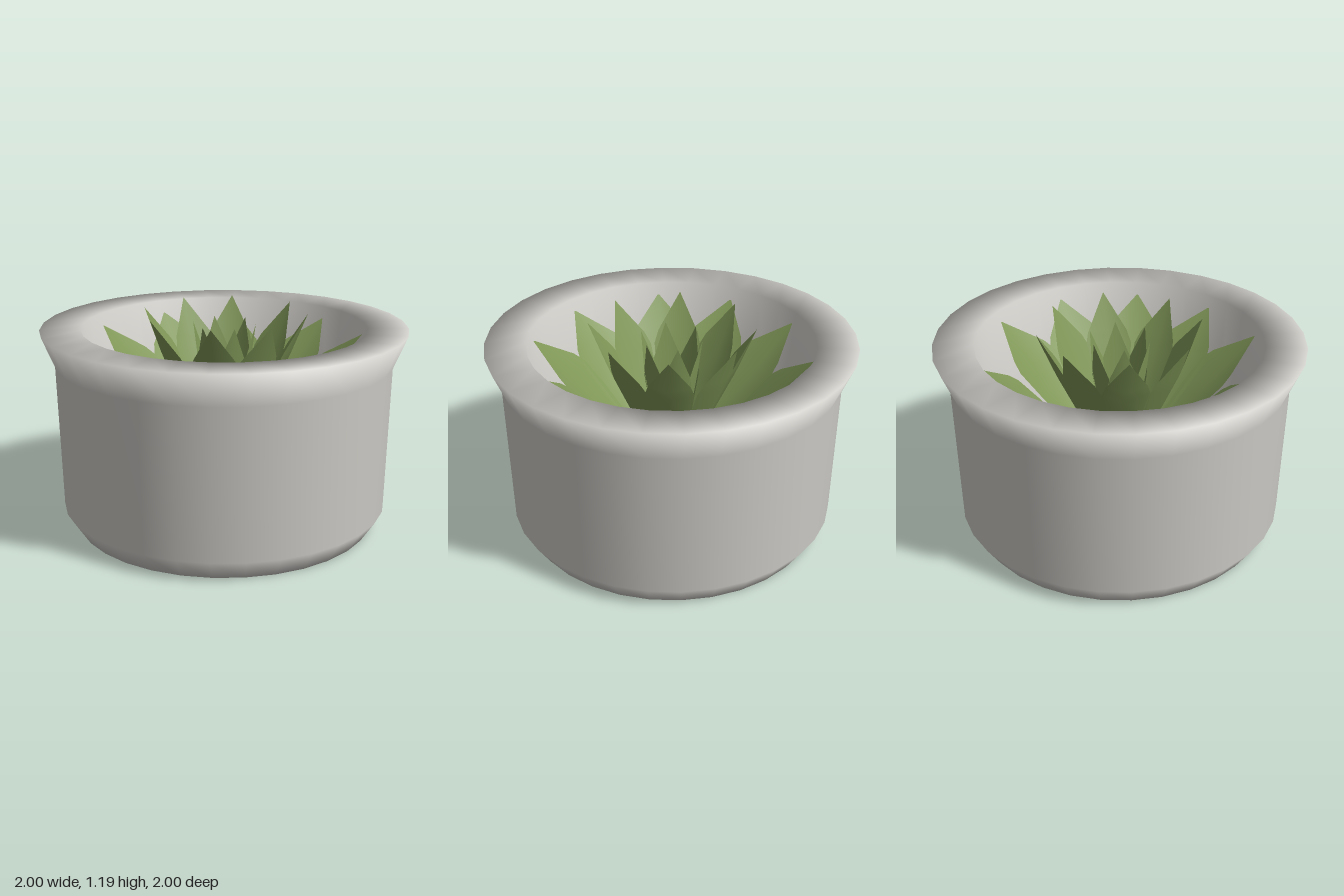
import * as THREE from 'three';

const potMaterial = new THREE.MeshStandardMaterial({ color: 0xd2d0cb });
potMaterial.name = 'pale grey glaze';
const soilMaterial = new THREE.MeshStandardMaterial({ color: 0x4e3a34 });
soilMaterial.name = 'dark brown soil';
const leafMaterial = new THREE.MeshStandardMaterial({ color: 0x7f9657, side: THREE.DoubleSide });
leafMaterial.name = 'succulent green';

const SOIL_Y = 0.35;

// Cupped pointed leaf rising along +x from a narrow foot to a tip at (reach, tipY)
function leafGeometry(foot, reach, tipY, halfWidth, cup) {
  const run = reach - foot;
  const rise = tipY - SOIL_Y;
  const slope = Math.atan2(rise, run);
  const up = [-Math.sin(slope), Math.cos(slope)];
  // Stations along the leaf: position, share of the full width
  const stations = [[0, 0.25], [0.25, 0.55], [0.5, 0.86], [0.68, 1], [0.76, 0.86], [1, 0]];
  const last = stations.length - 1;
  const positions = [];
  const index = [];
  // Upper skin, then lower skin, so the rim stays sharp
  for (const lower of [false, true]) {
    const start = positions.length / 3;
    for (const [t, w] of stations) {
      for (const side of [-1, 0, 1]) {
        const lift = side !== 0 ? cup * w : (lower ? -cup * 0.4 * w : 0);
        positions.push(foot + run * t + up[0] * lift, SOIL_Y + rise * t + up[1] * lift, side * halfWidth * w);
      }
    }
    for (let i = 0; i < last; i++) {
      for (let j = 0; j < 2; j++) {
        const a = start + i * 3 + j, b = a + 1, c = a + 3, d = a + 4;
        const faces = i === last - 1 ? [[a, b, start + last * 3 + 1]] : [[a, b, d], [a, d, c]];
        for (const [p, q, r] of faces) index.push(...(lower ? [p, r, q] : [p, q, r]));
      }
    }
  }
  const geometry = new THREE.BufferGeometry();
  geometry.setAttribute('position', new THREE.Float32BufferAttribute(positions, 3));
  geometry.setIndex(index);
  geometry.computeVertexNormals();
  return geometry;
}

// Ring of leaves; angles in degrees, anticlockwise from +x seen from above
function leafRing(name, angles, geometry) {
  const ring = new THREE.Group();
  ring.name = name;
  for (const angle of angles) {
    const leaf = new THREE.Mesh(geometry, leafMaterial);
    leaf.name = 'leaf';
    leaf.rotation.y = THREE.MathUtils.degToRad(angle);
    ring.add(leaf);
  }
  return ring;
}

export function createModel() {
  const model = new THREE.Group();
  model.name = 'potted succulent';

  // Pot: chamfered foot, near-straight wall, flared lip and deep tapering inside
  const profile = [
    [0, 0], [0.83, 0], [0.905, 0.115], [0.925, 0.93], [1, 1.113], [0.78, 1.11], [0.7, SOIL_Y - 0.01],
  ].map(([x, y]) => new THREE.Vector2(x, y));
  const pot = new THREE.Mesh(new THREE.LatheGeometry(profile, 32), potMaterial);
  pot.name = 'pot';
  model.add(pot);

  // Soil surface
  const soil = new THREE.Mesh(new THREE.CircleGeometry(0.702, 32), soilMaterial);
  soil.name = 'soil';
  soil.rotation.x = -Math.PI / 2;
  soil.position.y = SOIL_Y;
  model.add(soil);

  // Rosette: three rings, steeper towards the middle
  model.add(
    leafRing('outerLeaves', [-1, 34, 68, 113, 145, 181.5, 217, 250, 291, 324.5],
      leafGeometry(0.1, 0.775, 1.04, 0.18, 0.04)),
    leafRing('middleLeaves', [19, 62, 111, 148, 193, 238, 288, 329],
      leafGeometry(0.07, 0.455, 1.19, 0.13, 0.03)),
    leafRing('innerLeaves', [15, 75, 135, 195, 255, 315],
      leafGeometry(0.05, 0.175, 1.13, 0.085, 0.015)),
  );
  return model;
}
